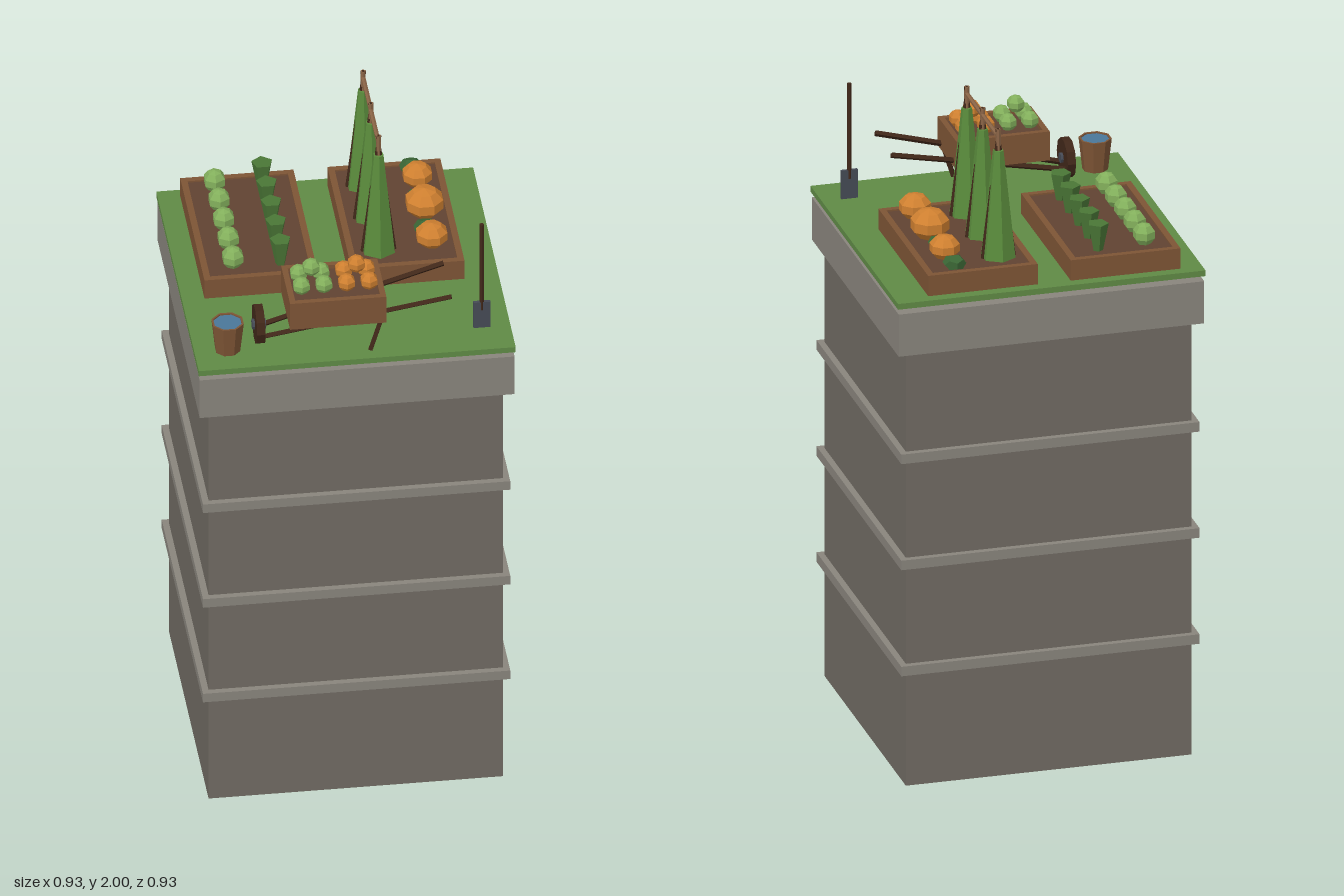
import * as THREE from 'three';

const mats = {};
function mat(color) {
  return (mats[color] ??= new THREE.MeshStandardMaterial({ color, flatShading: true }));
}
const STONE = 0x6f6a62, TRIM = 0x88847c, GRASS = 0x5f8a45, WOOD = 0x7d5435, SOIL = 0x604331,
  DARK = 0x402719, POLE = 0x8a6446, CABBAGE = 0x83b05c, LEAF = 0x4a7636, DEEP = 0x3a6635,
  BEAN = 0x5a8c3c, PUMPKIN = 0xcf8030, WATER = 0x4a7698, METAL = 0x454a55;

function add(parent, name, geo, color, x = 0, y = 0, z = 0) {
  const m = new THREE.Mesh(geo, mat(color));
  m.name = name;
  m.position.set(x, y, z);
  parent.add(m);
  return m;
}

// box given by its extents
function box(parent, name, color, x0, x1, y0, y1, z0, z1) {
  return add(parent, name, new THREE.BoxGeometry(x1 - x0, y1 - y0, z1 - z0), color,
    (x0 + x1) / 2, (y0 + y1) / 2, (z0 + z1) / 2);
}

// straight bar between two points
function bar(parent, name, color, a, b, r, sides = 6) {
  const p = new THREE.Vector3(...a), q = new THREE.Vector3(...b);
  const m = add(parent, name, new THREE.CylinderGeometry(r, r, p.distanceTo(q), sides), color);
  m.position.copy(p).lerp(q, 0.5);
  m.quaternion.setFromUnitVectors(new THREE.Vector3(0, 1, 0), q.sub(p).normalize());
  return m;
}

// faceted round vegetable, a corner of its outline pointing along z
function ball(parent, name, color, r, sides, squash, x, y, z) {
  const m = add(parent, name, new THREE.SphereGeometry(r, sides, 5), color, x, y, z);
  m.rotation.y = Math.PI / 2;
  m.scale.y = squash;
  return m;
}

// open timber frame filled with soil
function planter(parent, name, x0, x1, y0, y1, z0, z1, t, drop) {
  const g = new THREE.Group();
  g.name = name;
  box(g, 'frontBoard', WOOD, x0, x1, y0, y1, z1 - t, z1);
  box(g, 'backBoard', WOOD, x0, x1, y0, y1, z0, z0 + t);
  box(g, 'rightBoard', WOOD, x0, x0 + t, y0, y1, z0 + t, z1 - t);
  box(g, 'leftBoard', WOOD, x1 - t, x1, y0, y1, z0 + t, z1 - t);
  box(g, 'soil', SOIL, x0 + t, x1 - t, y0, y1 - drop, z0 + t, z1 - t);
  parent.add(g);
  return g;
}

function buildTower(root) {
  const g = new THREE.Group();
  g.name = 'tower';
  box(g, 'shaft', STONE, -0.433, 0.433, 0, 1.37, -0.433, 0.433);
  for (const y of [0.37, 0.705, 1.04])
    box(g, 'band', TRIM, -0.452, 0.452, y - 0.015, y + 0.015, -0.452, 0.452);
  box(g, 'cap', TRIM, -0.463, 0.463, 1.37, 1.503, -0.463, 0.463);
  box(g, 'lawn', GRASS, -0.466, 0.466, 1.52, 1.538, -0.466, 0.466);
  root.add(g);
}

function buildVegetableBed(root) {
  const g = planter(root, 'vegetableBed', -0.4, -0.067, 1.538, 1.602, -0.433, 0.098, 0.019, 0.005);
  for (let i = 0; i < 5; i++) {
    const z = -0.367 + i * 0.1;
    ball(g, 'cabbage', CABBAGE, 0.035, 6, 1, -0.308, 1.632, z);
    const cup = add(g, 'leafyPlant', new THREE.CylinderGeometry(0.032, 0.015, 0.085, 5), LEAF, -0.168, 1.64, z);
    cup.rotation.y = Math.PI;
  }
}

function buildClimberBed(root) {
  const g = planter(root, 'climberBed', 0.033, 0.365, 1.538, 1.602, -0.433, 0.098, 0.019, 0.005);
  const x = 0.125;
  for (const z of [-0.335, -0.168, 0]) {
    add(g, 'climbingPlant', new THREE.CylinderGeometry(0.016, 0.052, 0.335, 6), BEAN, x, 1.766, z);
    for (const s of [-1, 1])
      bar(g, 'trellisPole', DARK, [x + s * 0.047, 1.597, z], [x - s * 0.003, 2, z], 0.006);
    bar(g, 'trellisTop', POLE, [x, 1.93, z], [x, 2, z], 0.008);
  }
  bar(g, 'trellisRail', POLE, [x, 1.977, -0.34], [x, 1.977, 0.005], 0.007);
  for (const [z, r] of [[-0.312, 0.047], [-0.155, 0.06], [0.003, 0.05]])
    ball(g, 'pumpkin', PUMPKIN, r, 8, 0.8, 0.281, 1.6 + r * 0.78, z).rotation.y = Math.PI / 8;
  for (const z of [-0.385, -0.228, -0.07]) {
    const leaf = add(g, 'pumpkinLeaves', new THREE.DodecahedronGeometry(0.035), DEEP, 0.272, 1.615, z);
    leaf.scale.y = 0.7;
  }
}

function buildBarrow(root) {
  const g = new THREE.Group();
  g.name = 'wheelbarrow';
  const zc = 0.333;
  planter(g, 'tray', -0.193, 0.09, 1.637, 1.728, zc - 0.1, zc + 0.1, 0.017, 0.012);
  for (const s of [-1, 1]) {
    bar(g, 'handle', DARK, [-0.265, 1.572, zc + s * 0.03], [0.283, 1.702, zc + s * 0.087], 0.009, 4);
    bar(g, 'leg', DARK, [0.08, 1.645, zc + s * 0.08], [0.045, 1.538, zc + s * 0.088], 0.009, 4);
  }
  const wheel = add(g, 'wheel', new THREE.CylinderGeometry(0.06, 0.06, 0.025, 10), DARK, -0.272, 1.598, zc);
  const hub = add(g, 'hub', new THREE.CylinderGeometry(0.016, 0.016, 0.04, 8), METAL, -0.272, 1.598, zc);
  wheel.rotation.z = hub.rotation.z = Math.PI / 2;

  // four of each crop with a fifth stacked on top
  for (const [name, color, x] of [['cabbageLoad', CABBAGE, -0.118], ['pumpkinLoad', PUMPKIN, 0.015]]) {
    for (const dx of [-0.033, 0.033])
      for (const dz of [-0.033, 0.033])
        ball(g, name, color, 0.028, 6, 0.95, x + dx, 1.744, zc + dz);
    ball(g, name, color, 0.028, 6, 0.95, x, 1.785, zc);
  }
  root.add(g);
}

function buildTools(root) {
  // bucket of water
  const bucket = new THREE.Group();
  bucket.name = 'bucket';
  bucket.position.set(-0.368, 1.538, 0.365);
  const wall = [[0, 0], [0.038, 0], [0.049, 0.098], [0.043, 0.098], [0.042, 0.085]]
    .map(p => new THREE.Vector2(...p));
  const pail = add(bucket, 'pail', new THREE.LatheGeometry(wall, 8), WOOD);
  const water = add(bucket, 'water', new THREE.CylinderGeometry(0.043, 0.042, 0.01, 8), WATER, 0, 0.089, 0);
  pail.rotation.y = water.rotation.y = Math.PI / 8;
  root.add(bucket);

  // spade stuck in the lawn
  const spade = new THREE.Group();
  spade.name = 'spade';
  box(spade, 'blade', METAL, 0.357, 0.407, 1.538, 1.627, 0.343, 0.353);
  bar(spade, 'spadeHandle', DARK, [0.382, 1.6, 0.348], [0.382, 1.9, 0.348], 0.007);
  root.add(spade);
}

export function createModel() {
  const root = new THREE.Group();
  root.name = 'rooftopGarden';
  buildTower(root);
  buildVegetableBed(root);
  buildClimberBed(root);
  buildBarrow(root);
  buildTools(root);
  return root;
}
